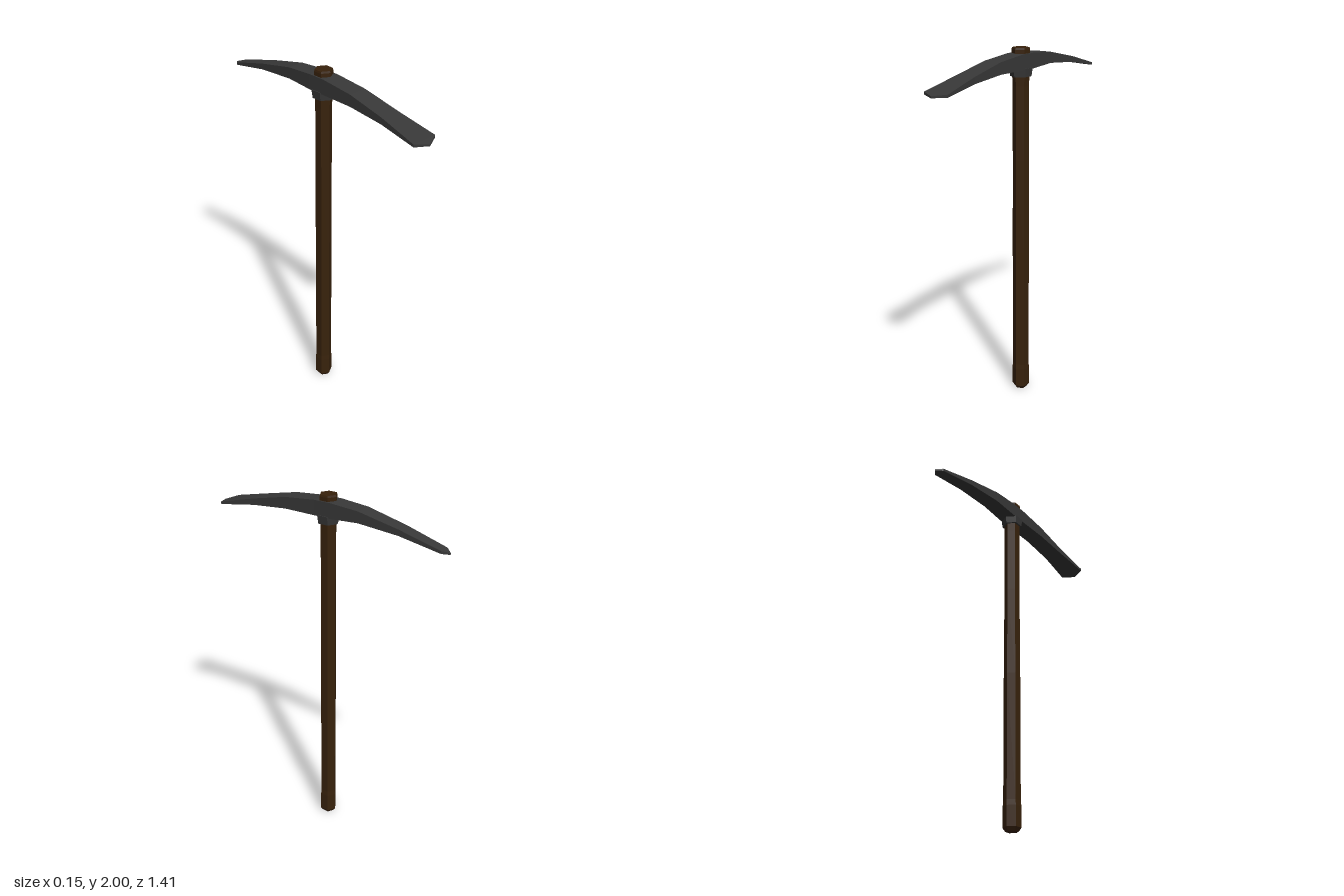
import * as THREE from 'three';

const steel = new THREE.MeshStandardMaterial({ color: 0x383838, flatShading: true });
steel.name = 'dark steel';
const wood = new THREE.MeshStandardMaterial({ color: 0x38220c, flatShading: true });
wood.name = 'dark wood';

// Six-sided turned part from [radius, y] points, with a corner facing the front
function turned(name, points, material) {
  const profile = points.map(([r, y]) => new THREE.Vector2(r, y));
  const mesh = new THREE.Mesh(new THREE.LatheGeometry(profile, 6), material);
  mesh.name = name;
  return mesh;
}

// Loft of rectangular sections [z, bottom, top, half width], from back to front
function loft(sections) {
  const positions = [];
  const index = [];
  for (const [z, b, t, w] of sections) {
    positions.push(-w, b, z, w, b, z, w, t, z, -w, t, z);
  }
  for (let i = 0; i < sections.length - 1; i++) {
    for (let k = 0; k < 4; k++) {
      const a = i * 4 + k;
      const b = i * 4 + (k + 1) % 4;
      index.push(a, b, b + 4, a, b + 4, a + 4);
    }
  }
  const geometry = new THREE.BufferGeometry();
  geometry.setAttribute('position', new THREE.Float32BufferAttribute(positions, 3));
  geometry.setIndex(index);
  geometry.computeVertexNormals();
  return geometry;
}

export function createModel() {
  const group = new THREE.Group();
  group.name = 'pickaxe';

  // Handle with a chamfered butt and a slightly flared top
  group.add(turned('handle', [
    [0, 0], [0.035, 0], [0.049, 0.02], [0.049, 0.13], [0.046, 0.16],
    [0.046, 0.87], [0.044, 1.4], [0.044, 1.8], [0.049, 1.95],
    [0.049, 1.99], [0.046, 2], [0, 2],
  ], wood));

  // Curved head: narrow pick at the back, broad blade at the front
  const head = new THREE.Mesh(loft([
    [-0.705, 1.832, 1.842, 0],
    [-0.67, 1.838, 1.852, 0.03],
    [-0.44, 1.88, 1.912, 0.039],
    [-0.21, 1.899, 1.959, 0.047],
    [-0.05, 1.889, 1.97, 0.05],
    [0.05, 1.889, 1.97, 0.05],
    [0.24, 1.889, 1.951, 0.052],
    [0.45, 1.87, 1.905, 0.056],
    [0.67, 1.838, 1.852, 0.074],
    [0.705, 1.832, 1.842, 0],
  ]), steel);
  head.name = 'head';
  group.add(head);

  // Socket under the head, wrapped around the handle
  group.add(turned('collar', [
    [0.044, 1.85], [0.057, 1.85], [0.063, 1.895], [0.044, 1.895],
  ], steel));

  return group;
}
